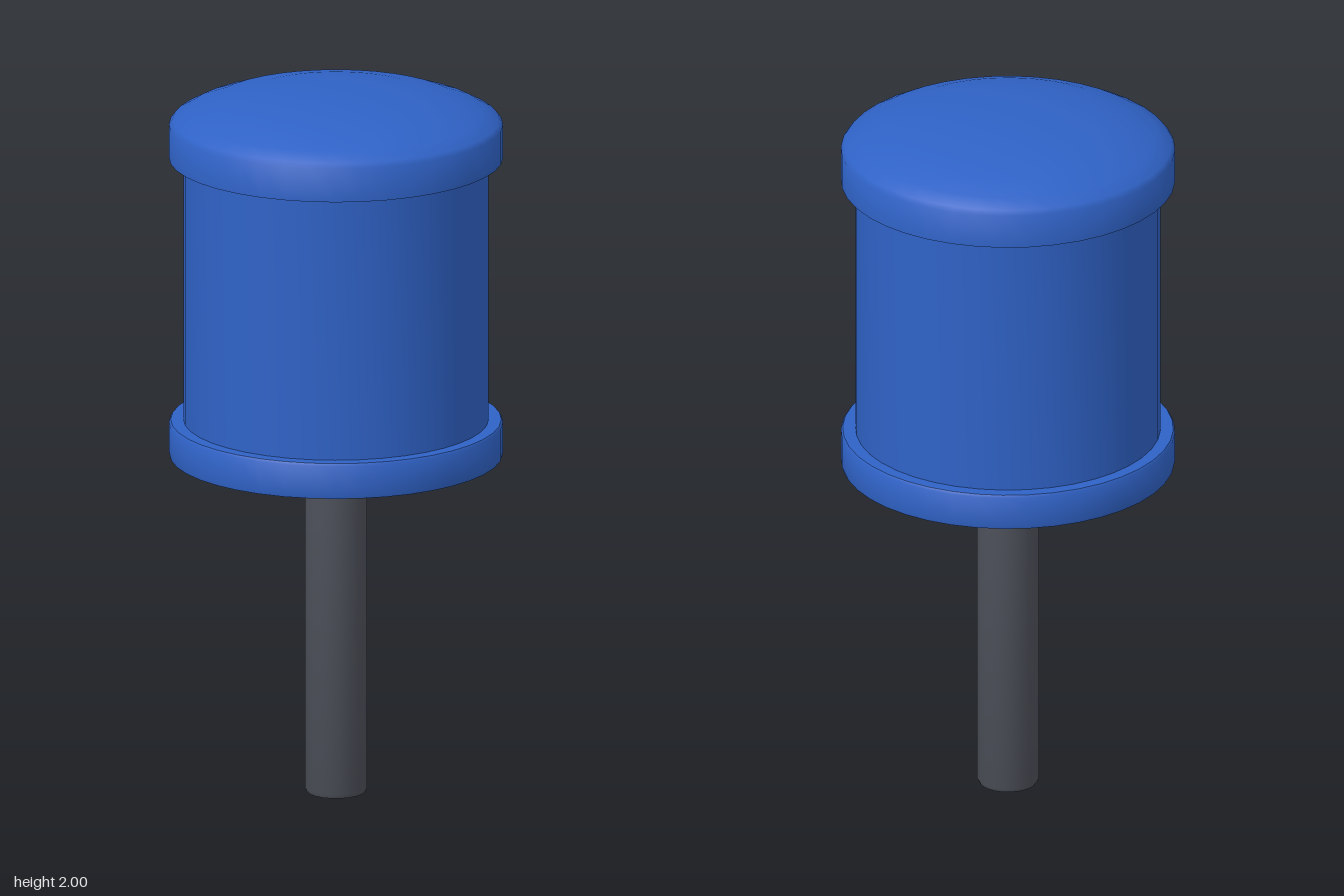
import * as THREE from 'three';
import { toCreasedNormals } from 'three/addons/utils/BufferGeometryUtils.js';

const SIDES = 40;

export function createModel() {
  const blue = new THREE.MeshStandardMaterial({ color: 0x2f62c6 });
  blue.name = 'blue';
  const grey = new THREE.MeshStandardMaterial({ color: 0x4f525c });
  grey.name = 'dark grey';

  const model = new THREE.Group();
  model.name = 'capPost';

  // Turns a [radius, height] profile, listed from bottom to top
  const turn = (name, material, profile, sides = SIDES) => {
    const points = profile.map(([r, y]) => new THREE.Vector2(r, y));
    const geometry = toCreasedNormals(new THREE.LatheGeometry(points, sides), 0.7);
    const mesh = new THREE.Mesh(geometry, material);
    mesh.name = name;
    model.add(mesh);
  };

  // Thin stem with a slightly eased foot
  turn('stem', grey, [[0, 0], [0.08, 0], [0.086, 0.012], [0.086, 0.97]], 20);

  // Flat rim under the drum
  turn('bottomRim', blue, [[0, 0.962], [0.458, 0.962], [0.46, 0.97], [0.46, 1.055], [0.455, 1.062], [0.41, 1.062]]);

  // Drum
  turn('drum', blue, [[0.42, 1.05], [0.42, 1.82]]);

  // Overhanging domed cap
  turn('cap', blue, [
    [0.41, 1.81], [0.46, 1.81], [0.46, 1.905], [0.45, 1.918], [0.41, 1.94],
    [0.34, 1.966], [0.25, 1.985], [0.13, 1.997], [0, 2],
  ]);

  return model;
}
